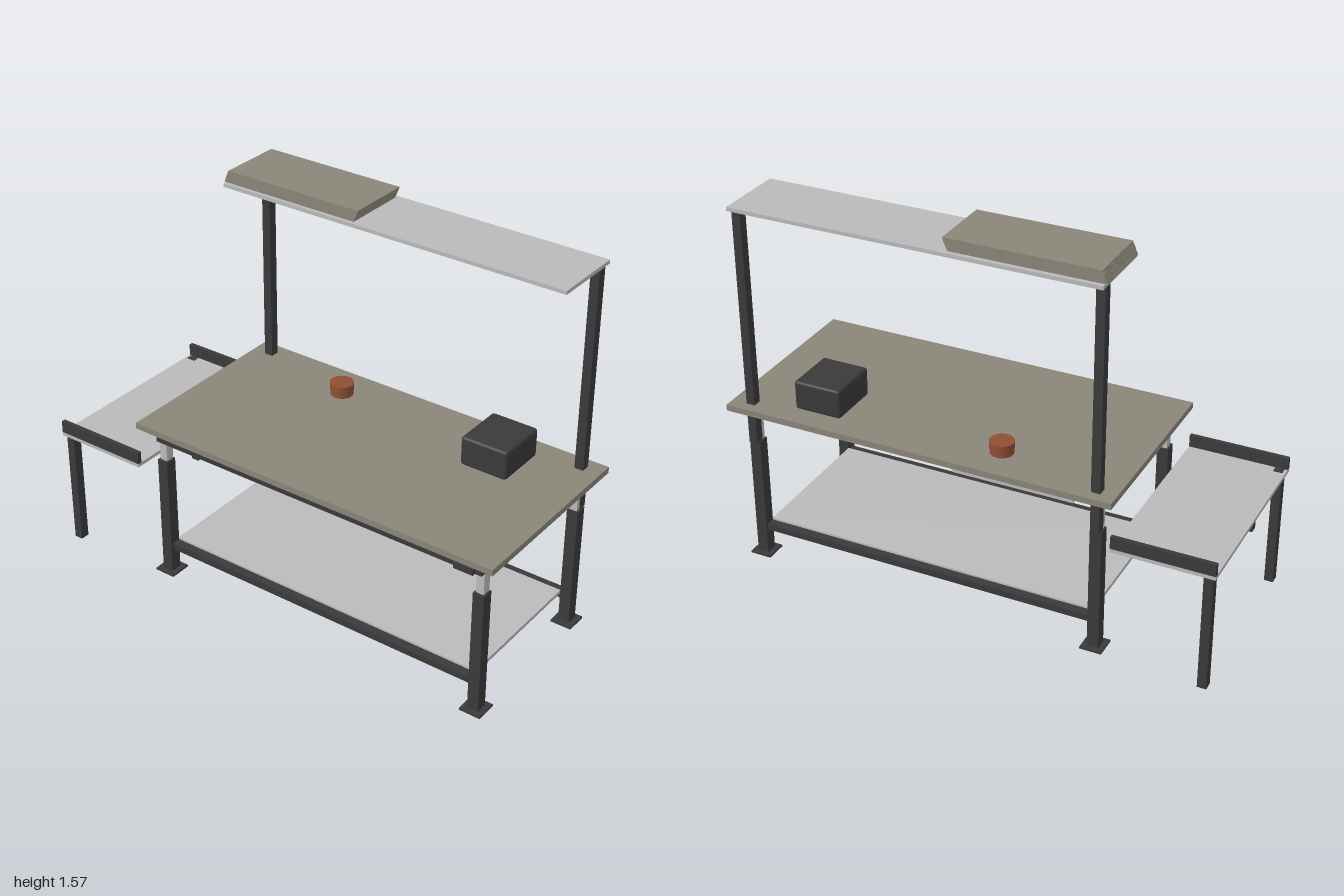
import * as THREE from 'three';
import { RoundedBoxGeometry } from 'three/addons/geometries/RoundedBoxGeometry.js';

export function createModel() {
  const group = new THREE.Group();
  group.name = 'workbench';

  const mat = (name, color) => {
    const m = new THREE.MeshStandardMaterial({ color });
    m.name = name;
    return m;
  };
  const darkSteel = mat('dark steel', 0x3a3a3a);
  const lightSteel = mat('light steel', 0xbababa);
  const board = mat('grey brown board', 0x8a8578);
  const copper = mat('copper brown', 0x8f4e34);

  const add = (name, geometry, material, x, y, z, parent = group) => {
    const mesh = new THREE.Mesh(geometry, material);
    mesh.name = name;
    mesh.position.set(x, y, z);
    parent.add(mesh);
    return mesh;
  };
  // Box given by its limits on each axis
  const box = (name, material, x0, x1, y0, y1, z0, z1, parent) =>
    add(name, new THREE.BoxGeometry(x1 - x0, y1 - y0, z1 - z0), material,
      (x0 + x1) / 2, (y0 + y1) / 2, (z0 + z1) / 2, parent);
  // Vertical post with a centre and a footprint
  const post = (name, material, x, z, w, d, y0, y1, parent) =>
    box(name, material, x - w / 2, x + w / 2, y0, y1, z - d / 2, z + d / 2, parent);

  // Table top
  box('tableTop', board, -0.6, 1, 0.665, 0.69, -0.4, 0.4);

  // Telescopic legs with feet
  for (const x of [-0.522, 0.918]) {
    for (const s of [-1, 1]) {
      const leg = new THREE.Group();
      leg.name = (s > 0 ? 'front' : 'back') + (x > 0 ? 'LeftLeg' : 'RightLeg');
      group.add(leg);
      post('foot', darkSteel, x, s * 0.323, 0.088, 0.09, 0, 0.008, leg);
      post('outerTube', darkSteel, x, s * 0.323, 0.046, 0.048, 0.008, 0.52, leg);
      post('innerTube', lightSteel, x, s * 0.32, 0.032, 0.036, 0.52, 0.665, leg);
    }
    // Uprights for the overhead shelf
    post('upright', darkSteel, x, -0.339, 0.036, 0.037, 0.52, 1.505);
  }

  // Front apron and height control
  box('apron', darkSteel, -0.535, 0.935, 0.612, 0.665, 0.32, 0.36);
  box('controlBox', darkSteel, 0.84, 0.92, 0.63, 0.655, 0.378, 0.396);

  // Lower shelf and its rails
  box('lowerShelf', lightSteel, -0.5, 0.895, 0.13, 0.145, -0.3, 0.3);
  for (const s of [-1, 1]) {
    const z = s * 0.318;
    box('lowerRail', darkSteel, -0.5, 0.895, 0.11, 0.137, z - 0.018, z + 0.018);
  }

  // Overhead shelf
  box('overheadShelf', lightSteel, -0.543, 0.935, 1.505, 1.52, -0.39, -0.095);

  // Leaning stack of sheets
  const stack = new THREE.Group();
  stack.name = 'sheetStack';
  group.add(stack);
  const sheets = 12, sheetH = 0.048 / sheets;
  for (let i = 0; i < sheets; i++) {
    const x = -0.55 + i * 0.0017, y = 1.52 + i * sheetH;
    box('sheet', board, x, x + 0.597, y, y + sheetH, -0.372, -0.11, stack);
  }

  // Drawer: open tray, front panel and handle
  const drawer = new THREE.Group();
  drawer.name = 'drawer';
  group.add(drawer);
  const t = 0.008, dx0 = -0.4, dx1 = 0.095, dz0 = -0.275, dz1 = 0.274;
  box('drawerFloor', lightSteel, dx0, dx1, 0.565, 0.565 + t, dz0, dz1, drawer);
  box('drawerBack', lightSteel, dx0, dx1, 0.565 + t, 0.643, dz0, dz0 + t, drawer);
  box('drawerRightSide', lightSteel, dx0, dx0 + t, 0.565 + t, 0.643, dz0 + t, dz1, drawer);
  box('drawerLeftSide', lightSteel, dx1 - t, dx1, 0.565 + t, 0.643, dz0 + t, dz1, drawer);
  box('drawerFront', darkSteel, -0.41, 0.105, 0.554, 0.65, dz1, 0.287, drawer);
  const handle = add('drawerHandle', new THREE.CylinderGeometry(0.009, 0.009, 0.16, 16),
    copper, -0.152, 0.602, 0.293, drawer);
  handle.rotation.z = Math.PI / 2;

  // Equipment case on the table
  add('equipmentCase', new RoundedBoxGeometry(0.197, 0.12, 0.22, 3, 0.012),
    darkSteel, 0.648, 0.75, -0.2);

  // Two stacked rolls
  add('lowerRoll', new THREE.CylinderGeometry(0.046, 0.046, 0.025, 24), copper, -0.102, 0.7025, -0.25);
  add('upperRoll', new THREE.CylinderGeometry(0.048, 0.048, 0.025, 24), copper, -0.102, 0.7275, -0.25);

  // Side table with guards, centre beam and outer legs
  const side = new THREE.Group();
  side.name = 'sideTable';
  group.add(side);
  box('sideTop', lightSteel, -1, -0.6, 0.488, 0.503, -0.4, 0.4, side);
  box('sideBeam', darkSteel, -1, -0.6, 0.46, 0.488, -0.017, 0.017, side);
  for (const s of [-1, 1]) {
    const z = s * 0.391;
    box('sideGuard', darkSteel, -1, -0.6, 0.503, 0.552, z - 0.009, z + 0.009, side);
    post('sideLeg', darkSteel, -0.97, s * 0.37, 0.036, 0.038, 0, 0.505, side);
  }

  return group;
}
